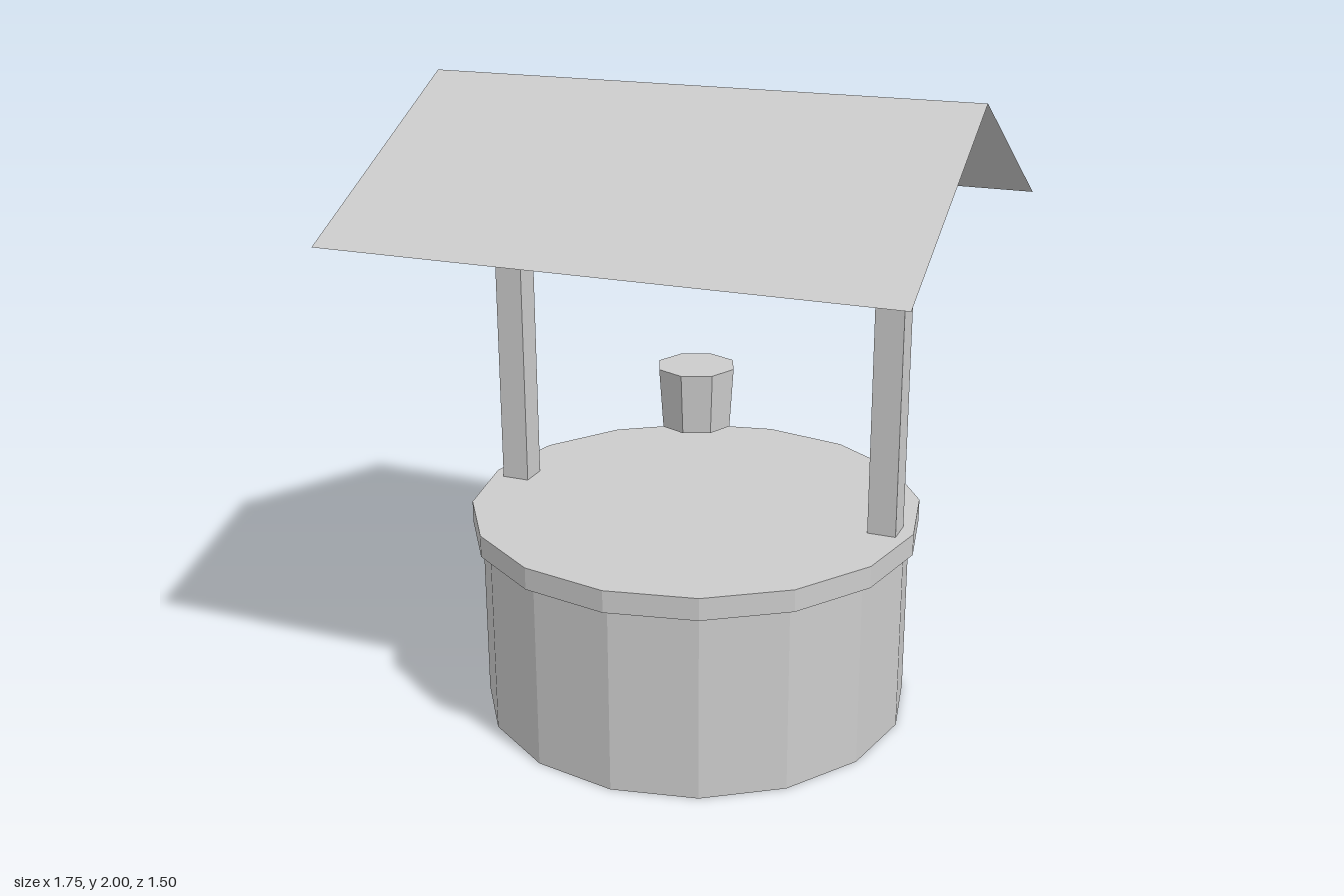
import * as THREE from 'three';

export function createModel() {
  const well = new THREE.Group();
  well.name = 'well';
  const solid = new THREE.MeshStandardMaterial({ color: 0xcccccc, flatShading: true });
  const thin = solid.clone();
  thin.side = THREE.DoubleSide;

  const add = (name, geometry, x, y, z, material = solid) => {
    const mesh = new THREE.Mesh(geometry, material);
    mesh.name = name;
    mesh.position.set(x, y, z);
    well.add(mesh);
    return mesh;
  };

  // Stone ring: outer and inner shells, open at the bottom
  add('outerWall', new THREE.CylinderGeometry(0.69, 0.69, 0.6, 16, 1, true), 0, 0.3, 0, thin);
  add('innerWall', new THREE.CylinderGeometry(0.57, 0.57, 0.6, 16, 1, true), 0, 0.3, 0, thin);

  // Water disc inside the ring
  const water = add('water', new THREE.CircleGeometry(0.565, 16), 0, 0.135, 0, thin);
  water.rotation.x = -Math.PI / 2;

  // Overhanging lid
  add('rim', new THREE.CylinderGeometry(0.72, 0.72, 0.07, 16), 0, 0.635, 0);

  // Posts and crossbeam
  for (const side of [-1, 1]) {
    add(side > 0 ? 'leftPost' : 'rightPost', new THREE.BoxGeometry(0.09, 0.96, 0.09), side * 0.63, 1.15, 0);
  }
  add('crossbeam', new THREE.BoxGeometry(1.38, 0.075, 0.075), 0, 1.5675, 0);

  // Tapered bucket
  add('bucket', new THREE.CylinderGeometry(0.125, 0.112, 0.19, 8), 0, 1.035, 0);

  // Thin roof slopes meeting at the ridge
  const run = 0.75, drop = 0.4;
  for (const side of [-1, 1]) {
    const slope = new THREE.PlaneGeometry(1.75, Math.hypot(run, drop));
    slope.rotateX(-Math.atan2(run, drop));
    if (side < 0) slope.rotateY(Math.PI);
    add(side > 0 ? 'frontRoof' : 'backRoof', slope, 0, 2 - drop / 2, side * run / 2, thin);
  }
  return well;
}
